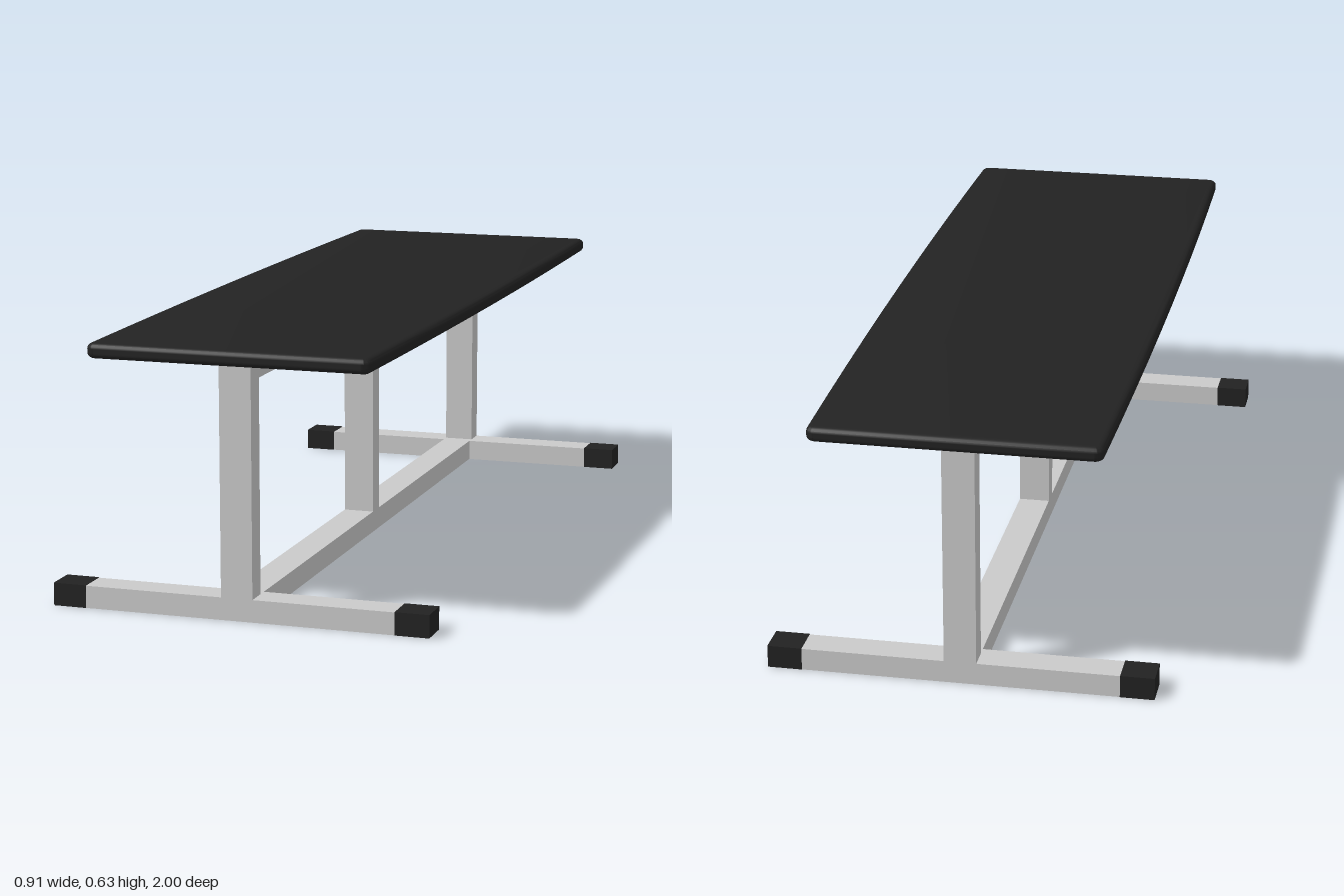
import * as THREE from 'three';
import { toCreasedNormals } from 'three/addons/utils/BufferGeometryUtils.js';

const steel = new THREE.MeshStandardMaterial({ name: 'light grey steel', color: 0xcacaca });
const black = new THREE.MeshStandardMaterial({ name: 'black', color: 0x222222 });

const CX = -0.004;   // centre line of the frame
const BAR = 0.076;   // tube width
const FOOT = 0.053;  // foot and lower rail height
const TOP = 0.597;   // underside of the table top

// Box given by its minimum and maximum on each axis
function box(name, material, [x0, x1], [y0, y1], [z0, z1]) {
  const mesh = new THREE.Mesh(new THREE.BoxGeometry(x1 - x0, y1 - y0, z1 - z0), material);
  mesh.position.set((x0 + x1) / 2, (y0 + y1) / 2, (z0 + z1) / 2);
  mesh.name = name;
  return mesh;
}

// Padded top: long sides bow out slightly, rim is rounded
function tableTop() {
  const bevel = 0.016, w = 0.336 - bevel, l = 1 - bevel, r = 0.006, bow = w + 0.022;
  const s = new THREE.Shape();
  s.moveTo(-w + r, -l);
  s.lineTo(w - r, -l);
  s.quadraticCurveTo(w, -l, w, -l + r);
  s.quadraticCurveTo(bow, 0, w, l - r);
  s.quadraticCurveTo(w, l, w - r, l);
  s.lineTo(-w + r, l);
  s.quadraticCurveTo(-w, l, -w, l - r);
  s.quadraticCurveTo(-bow, 0, -w, -l + r);
  s.quadraticCurveTo(-w, -l, -w + r, -l);
  const geo = new THREE.ExtrudeGeometry(s, {
    depth: 0.01, bevelThickness: 0.013, bevelSize: bevel, bevelSegments: 4, curveSegments: 10,
  });
  geo.rotateX(-Math.PI / 2);
  const mesh = new THREE.Mesh(toCreasedNormals(geo, 0.6), black);
  mesh.position.set(-0.005, TOP + 0.013, 0);
  mesh.name = 'tableTop';
  return mesh;
}

export function createModel() {
  const group = new THREE.Group();
  group.name = 'table';
  const barX = [CX - BAR / 2, CX + BAR / 2];

  group.add(tableTop());

  // Long rails under the top and along the floor
  group.add(box('upperRail', steel, barX, [0.556, TOP], [-0.888, 0.888]));
  group.add(box('lowerRail', steel, barX, [0, FOOT], [-0.865, 0.865]));
  group.add(box('middlePost', steel, barX, [FOOT, 0.556], [-0.006, 0.043]));

  // End frames: post, cross foot and two end caps
  for (const [side, s] of [['front', 1], ['back', -1]]) {
    const span = (a, b) => (s > 0 ? [a, b] : [-b, -a]);
    group.add(box(side + 'Post', steel, barX, [FOOT, TOP], span(0.887, 0.941)));
    group.add(box(side + 'Foot', steel, [-0.375, 0.371], [0, FOOT], span(0.865, 0.941)));
    group.add(box(side + 'RightCap', black, [-0.455, -0.375], [0, FOOT + 0.001], span(0.864, 0.942)));
    group.add(box(side + 'LeftCap', black, [0.371, 0.452], [0, FOOT + 0.001], span(0.864, 0.942)));
  }
  return group;
}
